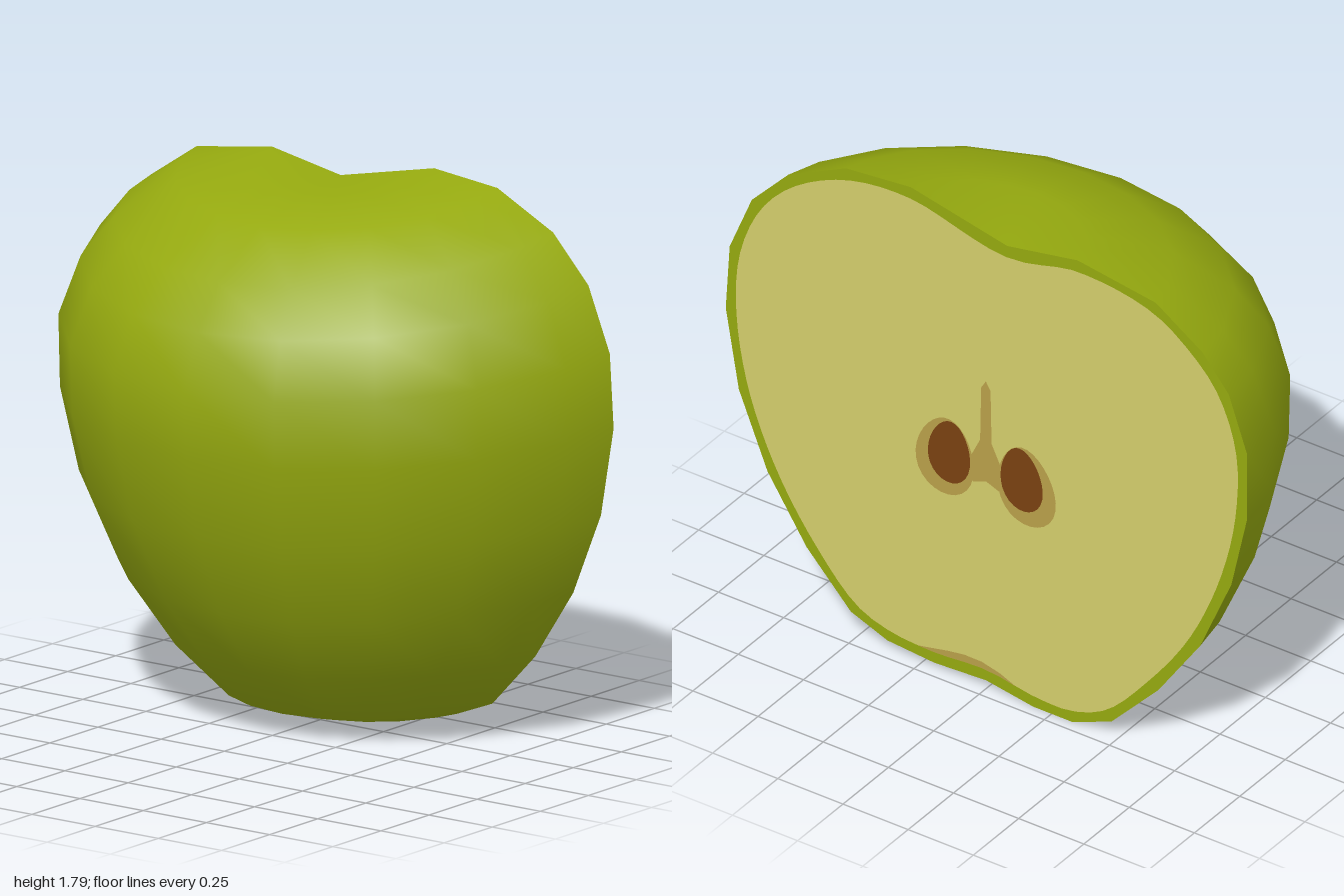
import * as THREE from 'three';
import { mergeVertices } from 'three/addons/utils/BufferGeometryUtils.js';

const CUT = -0.46; // plane of the cut face

// Skin profiles [radius, height], top to bottom, toward +x, the front and -x
const RIGHT = [[.29, 1.805], [.54, 1.78], [.76, 1.67], [.9, 1.52], [.985, 1.31], [1, 1.07],
  [.95, .78], [.84, .51], [.69, .28], [.52, .1], [.38, .045], [.2, .03]];
const FRONT = [[.28, 1.735], [.53, 1.68], [.74, 1.54], [.85, 1.4], [.92, 1.22], [.91, 1],
  [.85, .73], [.73, .46], [.58, .24], [.41, .07], [.24, .025], [.12, .035]];
const LEFT = [[.35, 1.775], [.65, 1.73], [.83, 1.61], [.93, 1.49], [1, 1.29], [1, 1.04],
  [.94, .77], [.82, .49], [.66, .26], [.48, .07], [.33, .01], [.18, .01]];
const TOP = [-.08, 1.725], BOTTOM = [0, .04];

const mat = (name, color) => {
  const m = new THREE.MeshStandardMaterial({ color });
  m.name = name;
  return m;
};

// Half-round skin: the side profiles blend into the front profile with the angle
function skinGeometry() {
  const angles = [0, 11, 30, 50, 70, 90, 110, 130, 150, 169, 180];
  const pos = [], index = [], n = angles.length;
  const addPole = ([x, y]) => angles.forEach(() => pos.push(x, y, CUT));
  addPole(TOP);
  FRONT.forEach((front, i) => angles.forEach((deg) => {
    const a = THREE.MathUtils.degToRad(deg);
    const side = deg < 90 ? RIGHT[i] : LEFT[i];
    const w = Math.sin(a);
    const r = THREE.MathUtils.lerp(side[0], front[0], w);
    const y = THREE.MathUtils.lerp(side[1], front[1], w);
    pos.push(r * Math.cos(a), y, CUT + r * w);
  }));
  addPole(BOTTOM);
  const rows = FRONT.length + 2;
  for (let i = 0; i < rows - 1; i++) {
    for (let j = 0; j < n - 1; j++) {
      const a = i * n + j, b = a + 1, c = a + n, d = c + 1;
      if (i > 0) index.push(a, b, c);
      if (i === 0) index.push(a, d, c);
      else if (i < rows - 2) index.push(b, d, c);
    }
  }
  const g = new THREE.BufferGeometry();
  g.setAttribute('position', new THREE.Float32BufferAttribute(pos, 3));
  g.setIndex(index);
  const merged = mergeVertices(g, 1e-4);
  merged.computeVertexNormals();
  return merged;
}

// Flat face looking toward -z, lying a little proud of the cut
function face(name, points, material, lift) {
  const shape = new THREE.Shape(points.map(([x, y]) => new THREE.Vector2(-x, y)));
  const g = new THREE.ShapeGeometry(shape);
  g.rotateY(Math.PI);
  g.translate(0, 0, CUT - lift);
  const mesh = new THREE.Mesh(g, material);
  mesh.name = name;
  return mesh;
}

// Egg-shaped outline, narrower at the top, tilted by an angle
function egg(cx, cy, w, h, tilt) {
  const pts = [];
  for (let i = 0; i < 28; i++) {
    const a = (i / 28) * Math.PI * 2;
    const x = w * Math.cos(a) * (1 - .15 * Math.sin(a)), y = h * Math.sin(a);
    pts.push([cx + x * Math.cos(tilt) - y * Math.sin(tilt), cy + x * Math.sin(tilt) + y * Math.cos(tilt)]);
  }
  return pts;
}

export function createModel() {
  const group = new THREE.Group();
  group.name = 'halfApple';
  const skin = mat('skinGreen', 0x95a90f);
  const flesh = mat('fleshCream', 0xd4ce6c);
  const core = mat('coreTan', 0xb9a04a);
  const seed = mat('seedBrown', 0x7a4110);

  const body = new THREE.Mesh(skinGeometry(), skin);
  body.name = 'skin';
  group.add(body);

  // Cut rim
  const outline = [TOP, ...RIGHT, BOTTOM, ...LEFT.map(([r, y]) => [-r, y]).reverse()];
  group.add(face('skinRim', outline, skin, 0));

  // Flesh: the smoothed outline moved inward
  const curve = new THREE.CatmullRomCurve3(outline.map(([x, y]) => new THREE.Vector3(x, y, 0)), true);
  const inner = [];
  for (let i = 0; i < 100; i++) {
    const p = curve.getPointAt(i / 100), t = curve.getTangentAt(i / 100);
    inner.push([p.x + t.y * .042, p.y - t.x * .042]);
  }
  group.add(face('flesh', inner, flesh, .002));

  // Blossom end: thin crescent along the bottom of the flesh
  const low = inner.filter(([x, y]) => y < .3 && x > -.12 && x < .28);
  const high = low.map(([x, y], i) => [x, y + .028 * Math.sin(Math.PI * i / (low.length - 1))]);
  group.add(face('blossomEnd', [...low, ...high.slice(1, -1).reverse()], core, .003));

  // Core: central strand, and a chamber with a seed on each side
  group.add(face('coreStrand', [[0, 1.18], [.018, 1.15], [.022, .95], [.07, .85], [.05, .78],
    [0, .8], [-.05, .78], [-.07, .85], [-.022, .95], [-.018, 1.15]], core, .003));
  for (const s of [1, -1]) {
    group.add(face('seedChamber', egg(s * .155, .838, .11, .145, s * .12), core, .004));
    group.add(face('seed', egg(s * .138, .86, .08, .117, s * .08), seed, .006));
  }
  return group;
}
